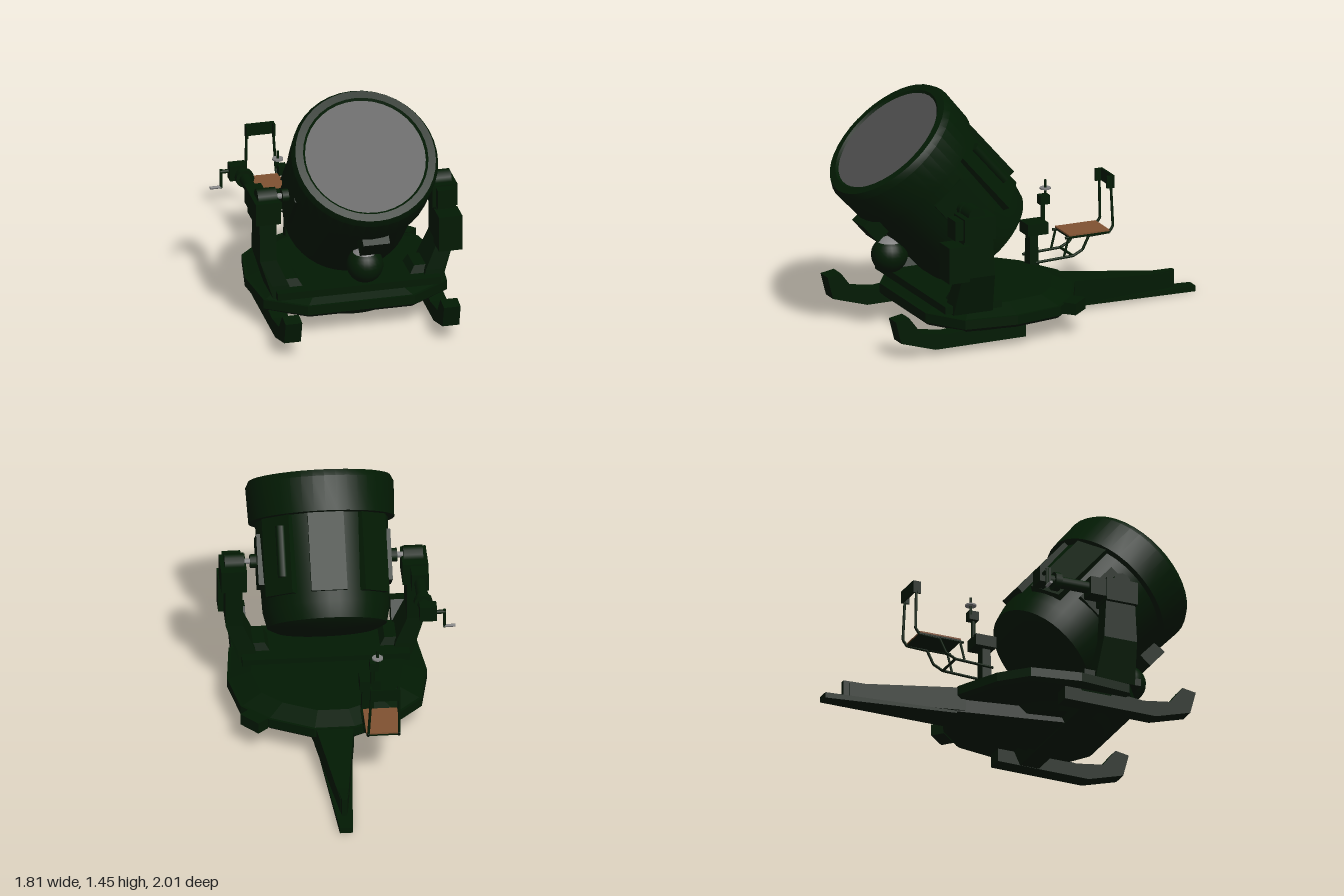
import * as THREE from 'three';
import { toCreasedNormals } from 'three/addons/utils/BufferGeometryUtils.js';
import { ConvexGeometry } from 'three/addons/geometries/ConvexGeometry.js';

const V = (x, y, z) => new THREE.Vector3(x, y, z);

export function createModel() {
  const mat = (name, color) => {
    const m = new THREE.MeshStandardMaterial({ color });
    m.name = name;
    return m;
  };
  const green = mat('dark green paint', 0x021a03);
  const glass = mat('grey glass', 0x4e4e4e);
  const steel = mat('pale steel', 0x808080);
  const brown = mat('brown leather', 0x805232);

  const model = new THREE.Group();
  const rig = new THREE.Group();
  rig.name = 'searchlight';
  rig.position.set(-0.038, 0, 0.032);
  rig.rotation.y = THREE.MathUtils.degToRad(40);
  model.add(rig);

  const add = (name, geo, material = green, parent = rig) => {
    const m = new THREE.Mesh(geo, material);
    m.name = name;
    parent.add(m);
    return m;
  };
  const box = (name, w, h, d, x, y, z, material, parent) => {
    const m = add(name, new THREE.BoxGeometry(w, h, d), material, parent);
    m.position.set(x, y, z);
    return m;
  };
  // Straight round bar between two points
  const bar = (name, a, b, r, material, parent) => {
    const d = b.clone().sub(a);
    const m = add(name, new THREE.CylinderGeometry(r, r, d.length(), 12), material, parent);
    m.position.copy(a).addScaledVector(d, 0.5);
    m.quaternion.setFromUnitVectors(V(0, 1, 0), d.normalize());
    return m;
  };
  // Convex block through rectangles [centre x, y, centre z, width, depth]
  const block = (name, rects) => add(name, new ConvexGeometry(rects.flatMap(([x, y, z, w, d]) =>
    [[-1, -1], [1, -1], [1, 1], [-1, 1]].map(([i, j]) => V(x + i * w / 2, y, z + j * d / 2)))));
  // Tapered beam along z through upright sections [z, half width, bottom, top]
  const beam = (name, sections) => add(name, new ConvexGeometry(sections.flatMap(([z, w, y0, y1]) =>
    [V(-w, y0, z), V(w, y0, z), V(-w, y1, z), V(w, y1, z)])));

  // Base: thin mirrored deck with beams below it
  const half = [[0.12, -0.5], [0.38, -0.37], [0.53, -0.22], [0.585, 0.08], [0.55, 0.4], [0.32, 0.55]];
  const outline = [...half, ...half.map(([x, z]) => [-x, z]).reverse()];
  const ring = (y, k) => outline.map(([x, z]) => V(x * k, y, 0.05 + (z - 0.05) * k));
  add('baseDeck', new ConvexGeometry([...ring(0.12, 0.96), ...ring(0.14, 1), ...ring(0.195, 1)]));
  add('baseTop', new ConvexGeometry([...ring(0.195, 0.97), ...ring(0.24, 0.76)]));
  block('crossBeam', [[0, 0.04, 0.2, 1.0, 0.12], [0, 0.125, 0.2, 1.06, 0.2]]);
  beam('spineBeam', [[0.2, 0.22, 0.045, 0.13], [-0.5, 0.1, 0.04, 0.13]]);
  box('rearBracket', 0.145, 0.07, 0.08, 0.46, 0.165, -0.34).rotation.y = -0.84;

  // Turntable hub below the deck and yoke bridge above it
  const hub = add('turntableHub', new THREE.CylinderGeometry(0.34, 0.3, 0.05, 32));
  hub.position.set(0, 0.1, 0.16);
  box('yokeBridge', 0.98, 0.045, 0.36, 0, 0.25, 0.32);

  // Tail trail: upright web over a long flat foot
  beam('tailLeg', [[-0.45, 0.115, 0.05, 0.195], [-0.75, 0.06, 0.035, 0.135], [-1.15, 0.022, 0.02, 0.13]]);
  beam('tailEndBox', [[-1.05, 0.032, 0.03, 0.14], [-1.185, 0.014, 0.025, 0.145]]);
  beam('tailFoot', [[-0.5, 0.1, 0.03, 0.045], [-1.26, 0.04, 0.004, 0.022], [-1.312, 0.038, 0, 0.035]]);

  // Front legs with upturned tips
  const legShape = new THREE.Shape([[0, 0.04], [0.58, 0.035], [0.8, 0.1], [0.835, 0.235], [0.75, 0.25],
    [0.67, 0.145], [0.5, 0.12], [0, 0.17]].map(([a, b]) => new THREE.Vector2(a, b)));
  const legGeo = new THREE.ExtrudeGeometry(legShape, { depth: 0.1, bevelEnabled: false });
  legGeo.translate(0, 0, -0.05).rotateY(-Math.PI / 2);

  for (const s of [-1, 1]) {
    add('frontLeg', legGeo).position.x = s * 0.475;
    // Yoke arms
    block('yokeArmFoot', [[s * 0.45, 0.22, 0.33, 0.11, 0.25], [s * 0.46, 0.3, 0.33, 0.1, 0.24],
      [s * 0.53, 0.46, 0.33, 0.1, 0.21]]);
    block('yokeArm', [[s * 0.53, 0.46, 0.33, 0.1, 0.21], [s * 0.53, 0.74, 0.33, 0.1, 0.18]]);
    block('armGusset', [[s * 0.38, 0.25, 0.33, 0.14, 0.2], [s * 0.4, 0.32, 0.33, 0.1, 0.16]]);
    box('bearingHousing', 0.15, 0.14, 0.2, s * 0.53, 0.76, 0.33);
    bar('bearingCap', V(s * 0.465, 0.83, 0.34), V(s * 0.58, 0.83, 0.34), 0.055);
    bar('trunnionCollar', V(s * 0.36, 0.83, 0.345), V(s * 0.43, 0.83, 0.345), 0.04);
    bar('trunnionPin', V(s * 0.425, 0.83, 0.345), V(s * 0.47, 0.83, 0.345), 0.017, steel);
  }
  box('junctionBox', 0.14, 0.22, 0.13, 0.54, 0.56, 0.465);
  box('junctionBoxLid', 0.11, 0.12, 0.08, 0.53, 0.76, 0.44);

  // Elevation drive and crank
  bar('elevationTube', V(-0.55, 0.765, 0.25), V(-0.55, 0.765, -0.14), 0.035);
  box('elevationCoupling', 0.1, 0.11, 0.1, -0.55, 0.765, 0.18);
  bar('elevationCollar', V(-0.55, 0.765, -0.05), V(-0.55, 0.765, -0.09), 0.055);
  box('elevationGearbox', 0.1, 0.095, 0.07, -0.57, 0.765, -0.17);
  bar('crankShaft', V(-0.6, 0.765, -0.18), V(-0.67, 0.765, -0.18), 0.012);
  bar('crankArm', V(-0.665, 0.78, -0.18), V(-0.665, 0.66, -0.18), 0.009);
  bar('crankHandle', V(-0.66, 0.667, -0.18), V(-0.73, 0.667, -0.18), 0.009, steel);

  // Traverse drive and handwheel
  block('traversePost', [[-0.2, 0.18, -0.37, 0.08, 0.06], [-0.2, 0.43, -0.37, 0.06, 0.05]]);
  box('traverseGearbox', 0.12, 0.07, 0.13, -0.21, 0.445, -0.39);
  bar('traverseColumn', V(-0.22, 0.47, -0.45), V(-0.22, 0.62, -0.45), 0.013);
  box('traverseJoint', 0.05, 0.055, 0.06, -0.23, 0.6, -0.46);
  bar('handwheelShaft', V(-0.25, 0.6, -0.48), V(-0.25, 0.71, -0.48), 0.008);
  bar('handwheel', V(-0.25, 0.655, -0.48), V(-0.25, 0.664, -0.48), 0.033, steel);

  // Operator seat
  box('seat', 0.2, 0.009, 0.26, -0.255, 0.378, -0.72, brown);
  box('seatPan', 0.2, 0.01, 0.26, -0.255, 0.368, -0.72);
  box('backrest', 0.175, 0.075, 0.012, -0.262, 0.665, -0.885);
  for (const x of [-0.345, -0.165]) {
    const top = x * 0.9 - 0.0328;
    const path = [V(x, 0.24, -0.38), V(x, 0.25, -0.62), V(x, 0.28, -0.68), V(x, 0.36, -0.72), V(x, 0.365, -0.85),
      V(x, 0.4, -0.875), V(top, 0.64, -0.87)];
    path.slice(1).forEach((p, i) => bar('seatFrame', path[i], p, 0.008));
    bar('seatStrut', V(x, 0.245, -0.56), V(x, 0.365, -0.59), 0.007);
    bar('seatRail', V(x, 0.365, -0.57), V(x, 0.365, -0.85), 0.008);
    box('backrestSide', 0.012, 0.075, 0.045, top, 0.665, -0.865);
  }
  bar('seatCrossbar', V(-0.345, 0.25, -0.62), V(-0.165, 0.25, -0.62), 0.008);

  // Lamp drum: its axis is y, measured back from the glass
  const drum = new THREE.Group();
  drum.name = 'lampDrum';
  drum.position.set(0, 1.175, 0.646);
  drum.rotation.x = THREE.MathUtils.degToRad(41);
  rig.add(drum);
  const lathe = (name, pts) => add(name, toCreasedNormals(
    new THREE.LatheGeometry(pts.map(([r, y]) => new THREE.Vector2(r, y)), 40), 0.5), green, drum);
  lathe('drumBody', [[0, -0.885], [0.3, -0.88], [0.35, -0.855], [0.372, -0.76], [0.39, -0.2]]);
  lathe('drumRim', [[0.38, -0.24], [0.427, -0.235], [0.434, -0.03], [0.415, 0.008], [0.37, 0.012], [0.352, -0.004]]);
  const lens = add('lens', new THREE.CircleGeometry(0.358, 48), glass, drum);
  lens.rotation.x = -Math.PI / 2;

  // Access panels around the upper back of the drum
  for (const a of [-0.8, 0, 0.8]) {
    const holder = new THREE.Group();
    holder.name = 'accessPanel';
    holder.rotation.y = a;
    drum.add(holder);
    box('panelPlate', 0.21, 0.46, 0.06, 0, -0.47, -0.372, green, holder);
    if (a < 0) bar('panelVent', V(-0.04, -0.3, -0.405), V(-0.04, -0.6, -0.405), 0.03, green, holder);
  }
  // Side plates behind the trunnions
  for (const s of [-1, 1]) box('trunnionPlate', 0.04, 0.3, 0.22, s * 0.372, -0.466, 0, green, drum);
  box('ventBox', 0.16, 0.14, 0.09, 0.02, -0.3, 0.42, green, drum);

  // Small auxiliary lamp under the drum
  const aux = new THREE.Group();
  aux.name = 'auxiliaryLamp';
  aux.position.set(0, 0.475, 0.635);
  rig.add(aux);
  const cap = Math.PI * 0.23;
  add('auxiliaryBowl', new THREE.SphereGeometry(0.108, 24, 12, 0, Math.PI * 2, cap, Math.PI - cap), green, aux);
  add('auxiliaryGlass', new THREE.SphereGeometry(0.108, 24, 6, 0, Math.PI * 2, 0, cap), steel, aux);
  bar('auxiliaryMount', V(0, 0.48, 0.58), V(0, 0.56, 0.45), 0.04);

  return model;
}
